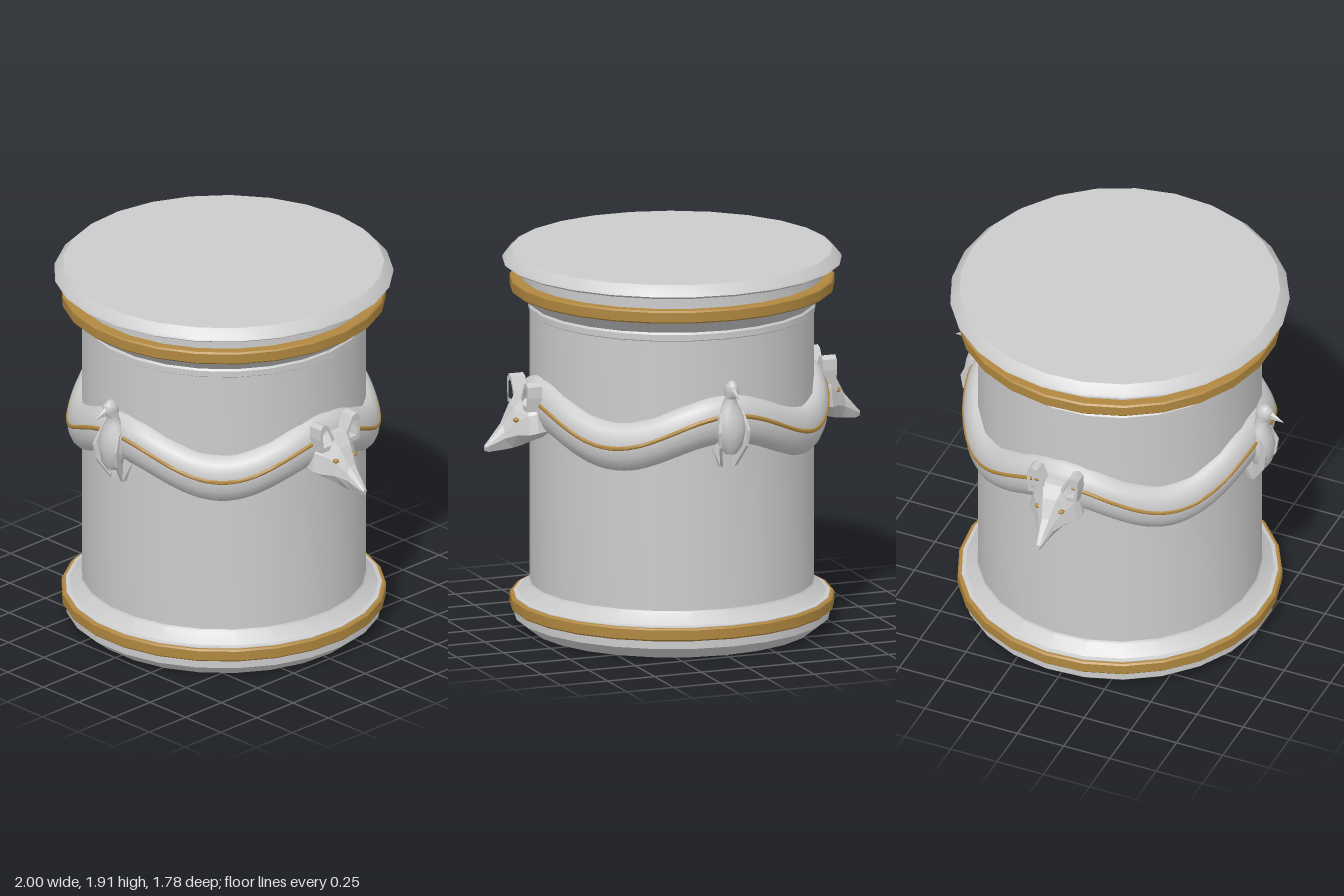
import * as THREE from 'three';
import { toCreasedNormals } from 'three/addons/utils/BufferGeometryUtils.js';

const GREY = 0xcccccc, GOLD = 0xb0873f, SIDES = 25;

function add(parent, name, geometry, color = GREY, flatShading = false) {
  const mesh = new THREE.Mesh(geometry, new THREE.MeshStandardMaterial({ color, flatShading }));
  mesh.name = name;
  parent.add(mesh);
  return mesh;
}

// Faceted turned part with a vertex at the back; profile runs bottom to top
function turned(profile) {
  const points = profile.map(([r, y]) => new THREE.Vector2(r, y));
  return toCreasedNormals(new THREE.LatheGeometry(points, SIDES, Math.PI), 0.4);
}

// Closed skin over a list of equal-length point loops
function loft(loops) {
  const n = loops[0].length, last = (loops.length - 1) * n;
  const verts = loops.flat(), index = [];
  for (let s = 0; s < loops.length - 1; s++) {
    for (let i = 0; i < n; i++) {
      const j = (i + 1) % n, a = s * n, b = a + n;
      index.push(a + i, a + j, b + j, a + i, b + j, b + i);
    }
  }
  for (let i = 1; i < n - 1; i++) {
    index.push(0, i + 1, i, last, last + i, last + i + 1);
  }
  const g = new THREE.BufferGeometry();
  g.setAttribute('position', new THREE.Float32BufferAttribute(verts.flat(), 3));
  g.setIndex(index);
  g.computeVertexNormals();
  return g;
}

// Wavy ring that rises at each of the four ornaments
function wavyRing(radius, depth, height, base, wave) {
  const g = new THREE.TorusGeometry(2, 1, 16, 120).rotateX(Math.PI / 2);
  const p = g.attributes.position;
  for (let i = 0; i < p.count; i++) {
    const a = Math.atan2(p.getX(i), p.getZ(i));
    const r = radius + (Math.hypot(p.getX(i), p.getZ(i)) - 2) * depth;
    const y = base + wave * Math.cos(4 * a) + p.getY(i) * height;
    p.setXYZ(i, r * Math.sin(a), y, r * Math.cos(a));
  }
  return toCreasedNormals(g, 1);
}

function outline(points) {
  return new THREE.Shape(points.map(([x, y]) => new THREE.Vector2(x, y)));
}

// Pointed-snout animal head, facing +z
function animalHead() {
  const head = new THREE.Group();
  head.name = 'animalHead';
  // [z, top, cheek height, bottom, half width]
  const sections = [
    [0.68, 1.23, 1.08, 1.03, 0.125], [0.77, 1.25, 1.07, 1.01, 0.142],
    [0.81, 1.245, 1.06, 0.995, 0.125], [0.86, 1.19, 1.055, 0.98, 0.08],
    [0.91, 1.10, 1.035, 0.972, 0.042], [0.98, 1.02, 1.0, 0.966, 0.02],
    [1.0, 1.0, 0.99, 0.972, 0.012],
  ];
  add(head, 'skull', loft(sections.map(([z, t, m, b, w]) => [
    [w, m, z], [w * 0.85, (t + m) / 2, z], [w * 0.45, t, z], [-w * 0.45, t, z],
    [-w * 0.85, (t + m) / 2, z], [-w, m, z], [-w * 0.3, b, z], [w * 0.3, b, z],
  ])), GREY, true);
  add(head, 'nose', new THREE.SphereGeometry(0.016, 8, 6)).position.set(0, 0.993, 0.982);

  for (const s of [-1, 1]) {
    const eye = add(head, 'eye', new THREE.SphereGeometry(0.017, 10, 8), GOLD);
    eye.scale.set(1, 0.7, 1);
    eye.position.set(s * 0.062, 1.13, 0.857);

    // Ear: raised rim around a recessed back plate
    const rim = [[0.025, 1.18], [0.13, 1.18], [0.138, 1.25], [0.135, 1.305],
      [0.115, 1.325], [0.085, 1.315], [0.05, 1.25]].map(([x, y]) => [x * s, y]);
    const inner = rim.map(([x, y]) => [s * 0.093 + (x - s * 0.093) * 0.6, 1.245 + (y - 1.245) * 0.65]);
    const rimShape = outline(rim);
    rimShape.holes.push(outline(inner));
    const ear = new THREE.Group();
    ear.name = 'ear';
    const options = { depth: 0.06, bevelEnabled: false };
    add(ear, 'earRim', new THREE.ExtrudeGeometry(rimShape, options)).position.z = 0.765;
    add(ear, 'earBack', new THREE.ExtrudeGeometry(outline(rim), { ...options, depth: 0.02 }))
      .position.z = 0.75;
    head.add(ear);
  }
  return head;
}

// Perched bird with folded wings, facing +z
function bird() {
  const group = new THREE.Group();
  group.name = 'bird';
  // [y, z centre, half width, half depth]
  const sections = [
    [1.04, 0.77, 0.03, 0.03], [1.08, 0.77, 0.06, 0.052], [1.16, 0.775, 0.078, 0.058],
    [1.23, 0.77, 0.07, 0.052], [1.28, 0.765, 0.045, 0.04], [1.32, 0.768, 0.027, 0.032],
    [1.355, 0.782, 0.034, 0.046], [1.39, 0.785, 0.03, 0.04], [1.41, 0.785, 0.012, 0.018],
  ];
  const body = loft(sections.map(([y, z, w, d]) => Array.from({ length: 12 }, (_, i) => {
    const a = i / 12 * Math.PI * 2;
    return [w * Math.cos(a), y, z - d * Math.sin(a)];
  })));
  add(group, 'birdBody', toCreasedNormals(body, 0.8));

  const beak = add(group, 'beak', new THREE.ConeGeometry(0.03, 0.09, 6), GREY, true);
  beak.scale.x = 0.6;
  beak.rotation.x = Math.PI / 2 + 0.3;
  beak.position.set(0, 1.35, 0.847);

  // Wing outline drawn in the z, y plane, tapering inward to its tip
  const wing = outline([[0.68, 1.24], [0.735, 1.275], [0.79, 1.24], [0.825, 1.16],
    [0.815, 1.08], [0.745, 0.97], [0.715, 0.965], [0.70, 1.08]]);
  for (const s of [-1, 1]) {
    const g = new THREE.ExtrudeGeometry(wing, { depth: 0.014, bevelEnabled: false });
    g.rotateY(-Math.PI / 2);
    const p = g.attributes.position;
    for (let i = 0; i < p.count; i++) {
      p.setX(i, p.getX(i) + 0.007 + s * (0.077 - 1.2 * (p.getY(i) - 1.15) ** 2
        - Math.max(0, p.getY(i) - 1.22) * 0.3));
    }
    g.computeVertexNormals();
    add(group, 'wing', g);
  }
  return group;
}

export function createModel() {
  const model = new THREE.Group();
  model.name = 'ornamentedDrum';

  // Solid drum with moulded foot and lip
  add(model, 'drum', turned([
    [0, 0], [0.71, 0], [0.785, 0.06], [0.785, 0.17], [0.765, 0.175], [0.71, 0.225], [0.705, 0.235],
    [0.705, 1.605], [0.713, 1.61], [0.713, 1.64], [0.705, 1.65], [0.795, 1.72], [0.795, 1.775],
    [0.75, 1.78], [0.75, 1.85], [0.822, 1.85], [0.842, 1.862], [0.835, 1.875],
    [0.795, 1.914], [0, 1.914],
  ]));

  for (const [name, y] of [['lowerBand', 0.102], ['upperBand', 1.718]]) {
    add(model, name, turned([
      [0.74, y], [0.797, y], [0.805, y + 0.008], [0.805, y + 0.056], [0.797, y + 0.064], [0.74, y + 0.064],
    ]), GOLD);
  }

  // Garland with its inlaid stripe
  add(model, 'garland', wavyRing(0.69, 0.085, 0.125, 1.128, 0.07));
  add(model, 'garlandStripe', wavyRing(0.768, 0.012, 0.012, 1.145, 0.082), GOLD);

  // Heads on the sides, birds at front and back
  for (let i = 0; i < 4; i++) {
    const ornament = i % 2 ? animalHead() : bird();
    ornament.rotation.y = i * Math.PI / 2;
    model.add(ornament);
  }
  return model;
}
